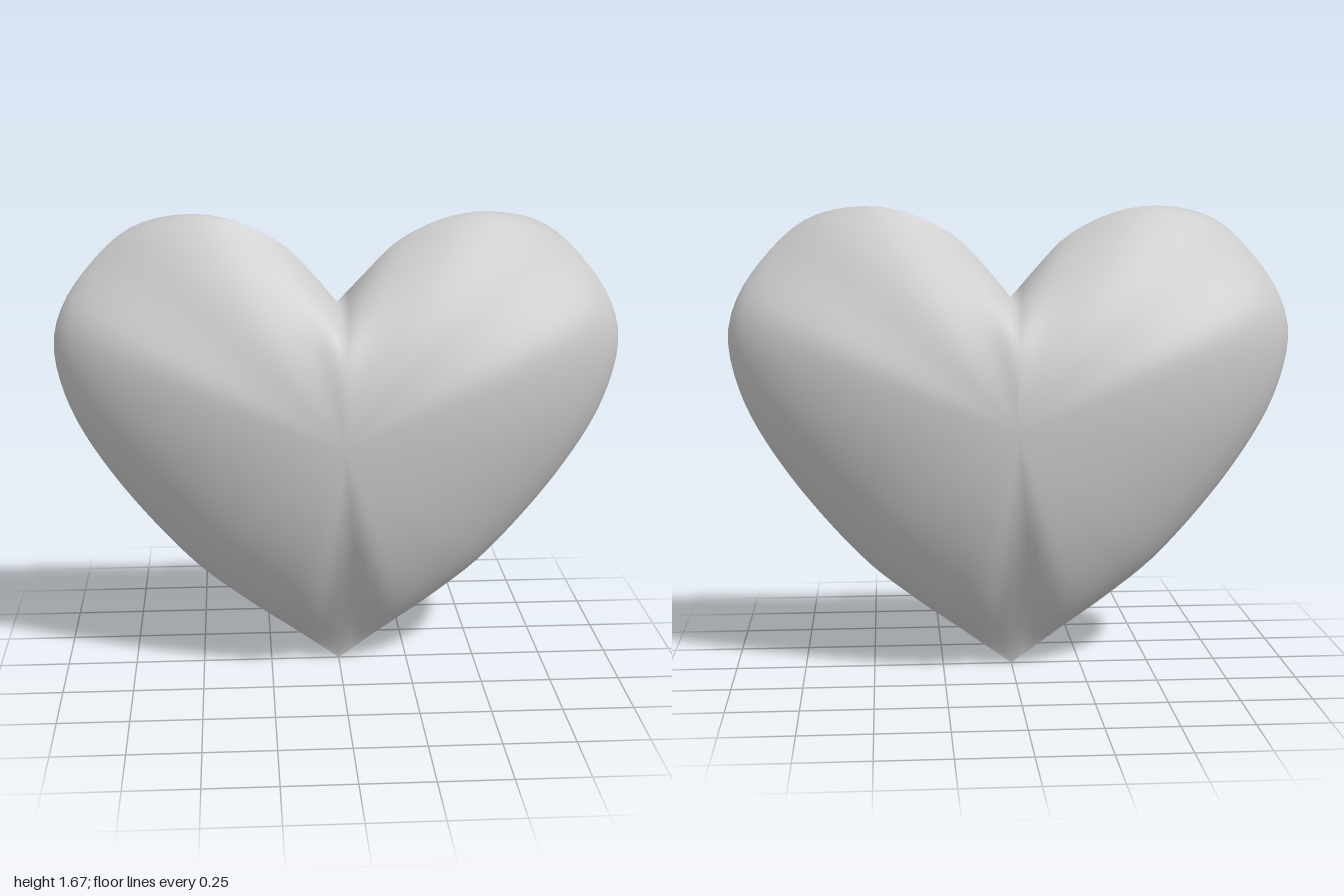
import * as THREE from 'three';
import { mergeVertices } from 'three/addons/utils/BufferGeometryUtils.js';

const CENTRE_Y = 0.91, LOBE_X = 0.52, LOBE_Y = 1.665, DEPTH = 0.33;
const HALF_STEPS = 56, RINGS = 64;

// Closed heart outline, clockwise from the cleft: one half spline, mirrored.
function heartOutline() {
  const half = new THREE.CatmullRomCurve3([
    [0, 1.34], [0.09, 1.45], [0.2, 1.56], [0.36, 1.64], [LOBE_X, LOBE_Y], [0.72, 1.62],
    [0.9, 1.45], [0.98, 1.31], [1, 1.19], [0.95, 0.98], [0.8, 0.72],
    [0.53, 0.4], [0.36, 0.26], [0.2, 0.145], [0, 0],
  ].map(([x, y]) => new THREE.Vector3(x, y, 0))).getSpacedPoints(HALF_STEPS);
  const mirrored = half.slice(1, -1).reverse().map((p) => new THREE.Vector3(-p.x, p.y, 0));
  return [...half, ...mirrored];
}

// Steepness of the swell toward an outline point: full at the sides, sharp at lobes and tip.
function swellPower({ x, y }) {
  const lobe = 0.55 * THREE.MathUtils.smoothstep(y, 1.3, LOBE_Y);
  const tip = y < 0.6 ? 0.75 * Math.exp(-((x / 0.12) ** 2)) : 0;
  return 0.62 + lobe + tip;
}

function heartGeometry() {
  const outline = heartOutline();
  const n = outline.length;
  const positions = [], indices = [];

  // Rings run from the front centre, over the rim, to the back centre.
  for (let i = 0; i <= RINGS; i++) {
    const t = (i / RINGS) * Math.PI;
    const s = Math.sin(t), c = i * 2 === RINGS ? 0 : Math.cos(t);
    for (const p of outline) {
      // The cleft fades in toward the rim.
      const dip = p.y > 1.3 && Math.abs(p.x) < LOBE_X ? LOBE_Y - p.y : 0;
      const y = CENTRE_Y + s * (p.y + dip - CENTRE_Y) - dip * s * s;
      const z = Math.sign(c) * DEPTH * Math.abs(c) ** (2 * swellPower(p));
      positions.push(s * p.x, y, z);
    }
  }
  for (let i = 0; i < RINGS; i++) {
    for (let j = 0; j < n; j++) {
      const k = (j + 1) % n;
      const a = i * n + j, b = a + n, d = i * n + k, e = d + n;
      if (i < RINGS - 1) indices.push(a, e, b);
      if (i > 0) indices.push(a, d, e);
    }
  }

  const geometry = new THREE.BufferGeometry();
  geometry.setAttribute('position', new THREE.Float32BufferAttribute(positions, 3));
  geometry.setIndex(indices);
  const merged = mergeVertices(geometry, 1e-5);
  merged.computeVertexNormals();
  return merged;
}

export function createModel() {
  const group = new THREE.Group();
  group.name = 'heart';
  const body = new THREE.Mesh(heartGeometry(), new THREE.MeshStandardMaterial({ color: 0xcccccc }));
  body.name = 'heartBody';
  group.add(body);
  return group;
}
